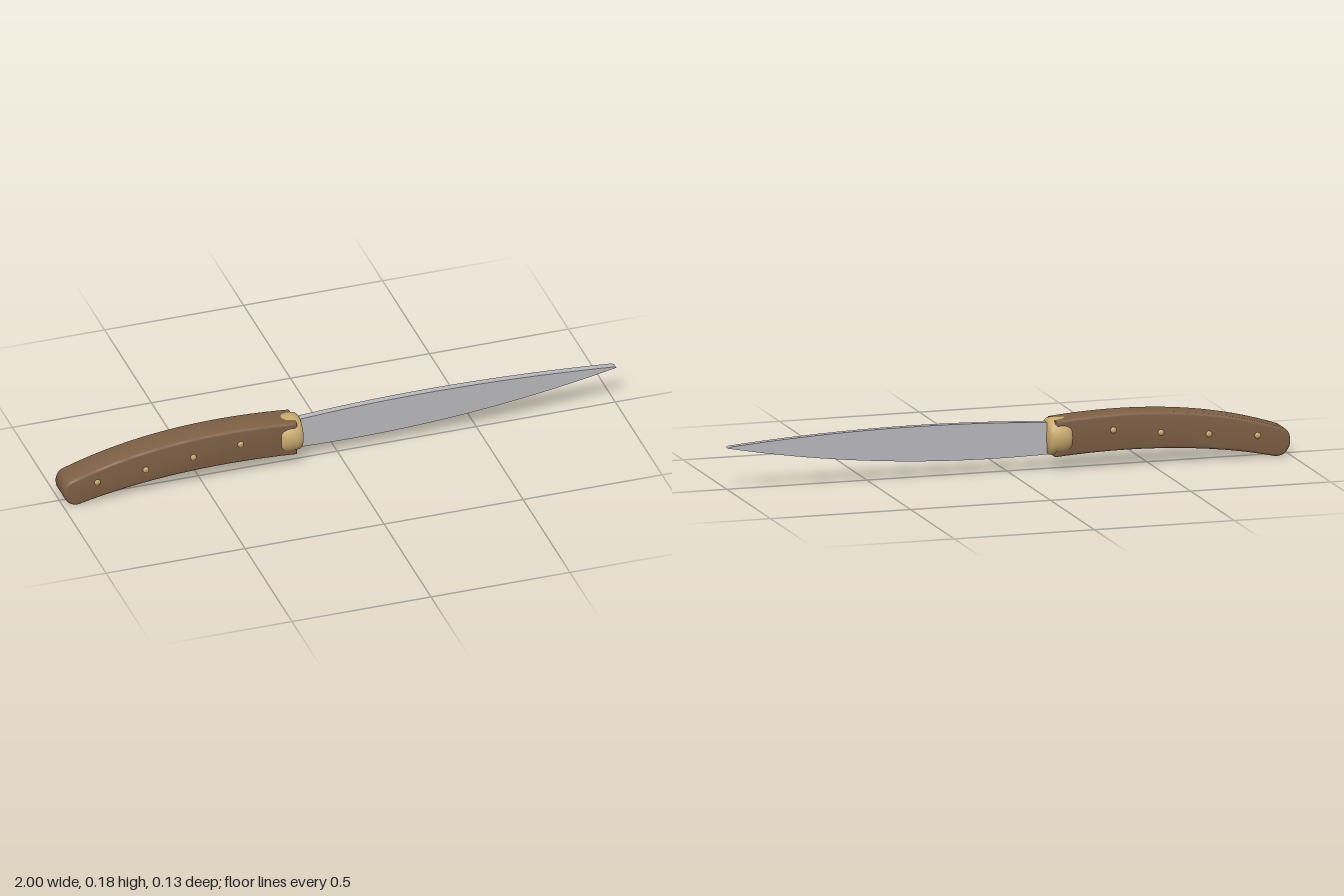
import * as THREE from 'three';
import { toCreasedNormals } from 'three/addons/utils/BufferGeometryUtils.js';

const material = (name, color) => {
  const m = new THREE.MeshStandardMaterial({ color });
  m.name = name;
  return m;
};

// Extrude a side profile, centred on z = 0, with an optional inward bevel
function slab(shape, thickness, bevel, segments) {
  const geometry = new THREE.ExtrudeGeometry(shape, {
    depth: thickness - 2 * bevel,
    curveSegments: segments,
    bevelEnabled: bevel > 0,
    bevelSize: bevel,
    bevelThickness: bevel,
    bevelOffset: -bevel,
    bevelSegments: 3,
  });
  geometry.translate(0, 0, bevel - thickness / 2);
  return toCreasedNormals(geometry, 0.6);
}

export function createModel() {
  const wood = material('brown wood', 0x7d5f45);
  const brass = material('brass', 0xc8a96e);
  const steel = material('steel', 0xb8b8bc);
  const model = new THREE.Group();
  model.name = 'foldingKnife';

  const add = (name, geometry, mat) => {
    const mesh = new THREE.Mesh(geometry, mat);
    mesh.name = name;
    model.add(mesh);
    return mesh;
  };

  // Curved handle with a rounded butt
  const handle = new THREE.Shape();
  handle.moveTo(-0.16, 0.048);
  handle.lineTo(-0.16, 0.174);
  handle.bezierCurveTo(-0.42, 0.2, -0.71, 0.192, -0.975, 0.098);
  handle.bezierCurveTo(-1.0, 0.088, -1.004, 0.05, -0.993, 0.03);
  handle.bezierCurveTo(-0.985, 0.014, -0.97, 0.0, -0.945, 0.002);
  handle.bezierCurveTo(-0.7, 0.06, -0.42, 0.069, -0.16, 0.048);
  add('handle', slab(handle, 0.102, 0.009, 20), wood);

  // Slender blade of even thickness
  const blade = new THREE.Shape();
  blade.moveTo(-0.19, 0.056);
  blade.lineTo(-0.14, 0.053);
  blade.bezierCurveTo(0.25, 0.04, 0.62, 0.07, 1, 0.146);
  blade.lineTo(0.99, 0.151);
  blade.bezierCurveTo(0.6, 0.184, 0.22, 0.189, -0.14, 0.164);
  blade.lineTo(-0.19, 0.16);
  add('blade', slab(blade, 0.024, 0, 24), steel);

  // Barrel-shaped locking collar lying along x
  const profile = [
    [0, -0.218], [0.056, -0.218], [0.062, -0.211], [0.066, -0.195], [0.067, -0.178],
    [0.066, -0.16], [0.063, -0.146], [0.057, -0.14], [0, -0.138],
  ].map(([r, x]) => new THREE.Vector2(r, x));
  const collar = new THREE.LatheGeometry(profile, 40);
  collar.rotateZ(-Math.PI / 2);
  collar.translate(0, 0.114, 0);
  add('collar', toCreasedNormals(collar, 0.9), brass);

  // Four pins, with a low domed head on each side
  [[-0.88, 0.08], [-0.706, 0.096], [-0.535, 0.112], [-0.365, 0.131]].forEach(([x, y]) => {
    for (const side of [1, -1]) {
      const head = new THREE.SphereGeometry(0.011, 16, 6, 0, Math.PI * 2, 0, Math.PI / 2);
      head.scale(1, 0.6, 1);
      head.rotateX(side * Math.PI / 2);
      add('pin', head, brass).position.set(x, y, side * 0.0505);
    }
  });

  return model;
}
